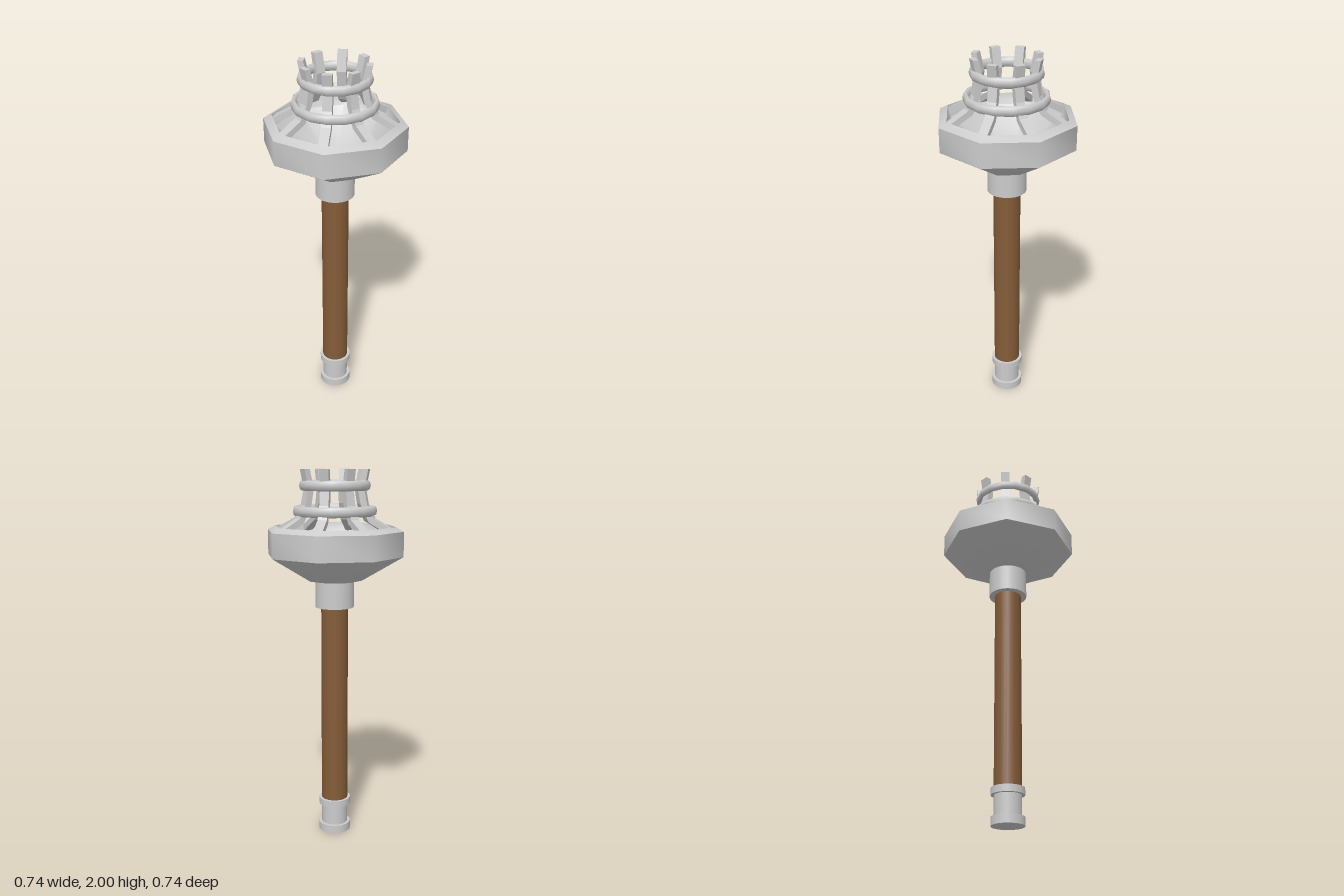
import * as THREE from 'three';
import { toCreasedNormals } from 'three/addons/utils/BufferGeometryUtils.js';

const metal = new THREE.MeshStandardMaterial({ color: 0xcccccc });
const wood = new THREE.MeshStandardMaterial({ color: 0x845c38 });

export function createModel() {
  const model = new THREE.Group();

  const add = (name, geometry, material = metal) => {
    const mesh = new THREE.Mesh(geometry, material);
    mesh.name = name;
    model.add(mesh);
    return mesh;
  };
  const cylinder = (name, radius, y0, y1, material) =>
    add(name, new THREE.CylinderGeometry(radius, radius, y1 - y0, 24).translate(0, (y0 + y1) / 2, 0), material);

  // Shaft with its metal fittings
  cylinder('pommelBase', 0.087, 0, 0.045);
  cylinder('pommelNeck', 0.071, 0.045, 0.155);
  cylinder('pommelRing', 0.087, 0.155, 0.192);
  cylinder('handle', 0.072, 0.19, 1.3, wood);
  cylinder('collar', 0.103, 1.28, 1.44);

  // Eight-sided hollow bowl: underside, wall, sloped rim, inside
  const profile = [
    [0, 1.425], [0.148, 1.425], [0.368, 1.555], [0.368, 1.685],
    [0.325, 1.708], [0.31, 1.65], [0.13, 1.5], [0, 1.475],
  ].map(([r, y]) => new THREE.Vector2(r, y));
  add('bowl', toCreasedNormals(new THREE.LatheGeometry(profile, 8), 0.85));

  // Cage bars: bent strips that rise from the rim and flare at the tip
  const bar = new THREE.Shape([
    [0.325, 1.655], [0.325, 1.69], [0.215, 1.752], [0.18, 1.82], [0.165, 1.9],
    [0.184, 2], [0.154, 2], [0.131, 1.9], [0.146, 1.82], [0.19, 1.73],
  ].map(([r, y]) => new THREE.Vector2(r, y)));
  const barGeometry = new THREE.ExtrudeGeometry(bar, { depth: 0.048, bevelEnabled: false }).translate(0, 0, -0.012);
  for (let i = 0; i < 8; i++) {
    add('cageBar', barGeometry).rotation.y = -i * Math.PI / 4;
  }

  // Two hoops around the bars, taller than they are thick
  const hoop = (name, outerRadius, y) => add(name,
    new THREE.TorusGeometry(outerRadius - 0.016, 0.016, 8, 15)
      .rotateX(Math.PI / 2).rotateY(-Math.PI / 2).scale(1, 1.65, 1).translate(0, y, 0));
  hoop('lowerHoop', 0.222, 1.788);
  hoop('upperHoop', 0.188, 1.918);

  return model;
}
